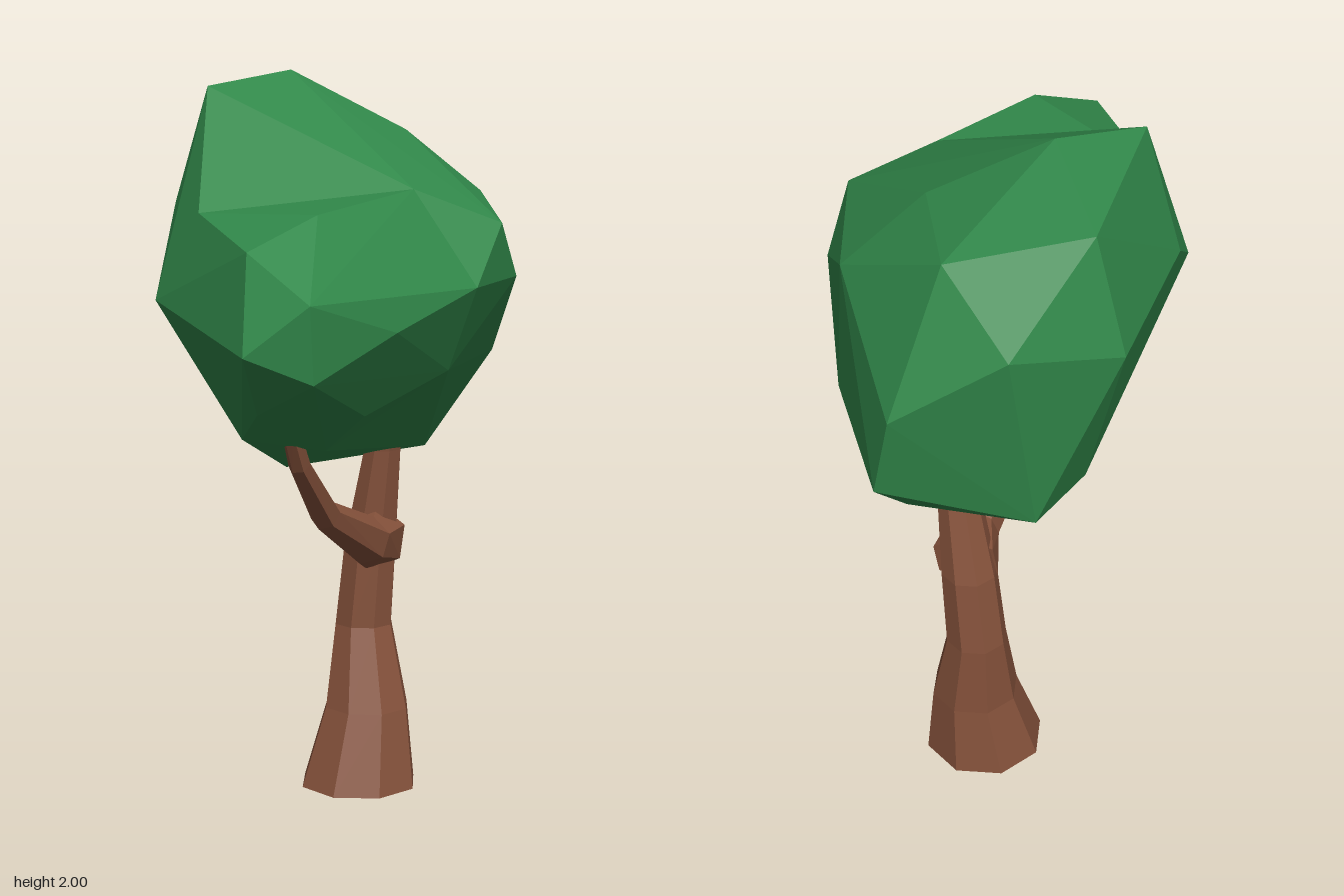
import * as THREE from 'three';
import { ConvexGeometry } from 'three/addons/geometries/ConvexGeometry.js';

const bark = new THREE.MeshStandardMaterial({ color: 0x87533c, flatShading: true });
const leaf = new THREE.MeshStandardMaterial({ color: 0x31884a, flatShading: true });

// Faceted limb through stations [x, y, z, radius]; rings face along "axis" or along the path
function limb(name, stations, sides, axis) {
  const pts = stations.map(([x, y, z]) => new THREE.Vector3(x, y, z));
  const pos = [], index = [];
  pts.forEach((p, i) => {
    const t = axis ? axis.clone()
      : pts[Math.min(i + 1, pts.length - 1)].clone().sub(pts[Math.max(i - 1, 0)]).normalize();
    const u = new THREE.Vector3(0, 0, 1).addScaledVector(t, -t.z).normalize();
    const v = t.clone().cross(u);
    for (let s = 0; s < sides; s++) {
      const a = ((s + 0.5) / sides) * Math.PI * 2;
      const q = p.clone()
        .addScaledVector(u, Math.cos(a) * stations[i][3])
        .addScaledVector(v, Math.sin(a) * stations[i][3]);
      pos.push(q.x, q.y, q.z);
    }
  });
  for (let i = 0; i < pts.length - 1; i++) {
    for (let s = 0; s < sides; s++) {
      const a = i * sides + s, b = i * sides + (s + 1) % sides;
      index.push(a, b, b + sides, a, b + sides, a + sides);
    }
  }
  // End caps
  const last = (pts.length - 1) * sides;
  for (let s = 1; s < sides - 1; s++) {
    index.push(0, s + 1, s, last, last + s, last + s + 1);
  }
  const geo = new THREE.BufferGeometry();
  geo.setAttribute('position', new THREE.Float32BufferAttribute(pos, 3));
  geo.setIndex(index);
  geo.computeVertexNormals();
  const mesh = new THREE.Mesh(geo, bark);
  mesh.name = name;
  return mesh;
}

function foliage(name, points) {
  const mesh = new THREE.Mesh(new ConvexGeometry(points.map((p) => new THREE.Vector3(...p))), leaf);
  mesh.name = name;
  return mesh;
}

export function createModel() {
  const tree = new THREE.Group();
  tree.name = 'tree';

  // Trunk, flared at the base and leaning forward at the top
  tree.add(limb('trunk', [
    [0.205, 0, -0.08, 0.168],
    [0.24, 0.22, -0.085, 0.122],
    [0.26, 0.45, -0.12, 0.084],
    [0.266, 0.68, -0.1, 0.077],
    [0.26, 0.96, -0.045, 0.054],
    [0.25, 1.15, 0, 0.045],
  ], 8, new THREE.Vector3(0, 1, 0)));

  // Side branch reaching toward the low lobe, thick where it leaves the trunk
  tree.add(limb('branch', [
    [0.265, 0.7, -0.085, 0.095],
    [0.16, 0.72, 0.0, 0.068],
    [-0.07, 0.835, 0.085, 0.042],
    [-0.22, 1.0, 0.15, 0.03],
    [-0.28, 1.11, 0.18, 0.025],
  ], 6));

  // Points where the two foliage masses meet
  const seam = [
    [-0.41, 1.65, -0.02], [0, 1.71, 0.34], [0.05, 1.47, 0.52], [0.05, 1.25, 0.42],
    [-0.2, 1.045, 0.23], [-0.38, 1.08, 0.11], [-0.45, 1.42, -0.15], [-0.18, 1.01, 0.04],
  ];

  // Main tall mass of the crown
  tree.add(foliage('mainCrown', [
    ...seam,
    [0.07, 2, -0.21], [-0.18, 1.96, -0.26], [0.2, 1.93, -0.51], [0.48, 1.86, -0.29],
    [0.3, 1.84, 0], [0.5, 1.67, 0.09], [0.675, 1.51, -0.32], [0.68, 1.27, -0.26],
    [0.47, 1.7, -0.52], [0.37, 1.16, -0.5], [0.18, 1.63, -0.6], [-0.2, 1.65, -0.375],
    [0.13, 1.13, -0.41], [0.05, 0.91, -0.21], [0.42, 0.95, -0.04],
    [0.47, 1.24, 0.17], [0.33, 1.47, 0.39], [0.21, 1.62, 0.45],
  ]));

  // Low lobe leaning out to the front
  tree.add(foliage('lowerLobe', [
    ...seam,
    [-0.39, 1.67, 0.41], [-0.59, 1.59, 0.38], [-0.58, 1.48, 0.595], [-0.685, 1.355, 0.475],
    [-0.56, 1.29, 0.585], [-0.5, 1.18, 0.31], [-0.27, 1.17, 0.45], [-0.28, 1.39, 0.575],
  ]));
  return tree;
}
